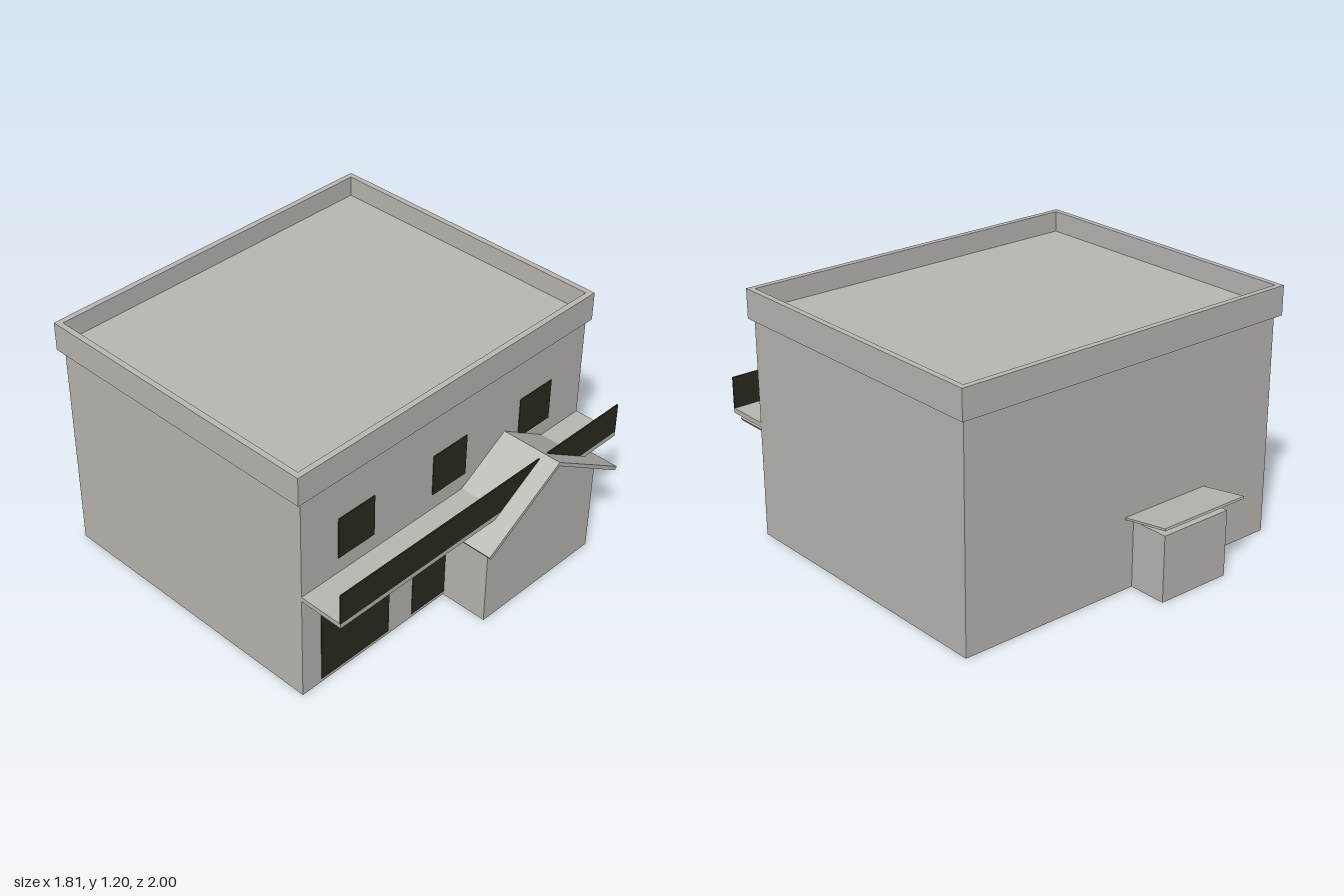
import * as THREE from 'three';

export function createModel() {
  const model = new THREE.Group();
  model.name = 'building';

  const wall = new THREE.MeshStandardMaterial({ color: 0xbcb9b4 });
  wall.name = 'wall grey';
  const glass = new THREE.MeshStandardMaterial({ color: 0x2c2b20 });
  glass.name = 'dark glass';

  const add = (name, geometry, material) => {
    const mesh = new THREE.Mesh(geometry, material);
    mesh.name = name;
    model.add(mesh);
    return mesh;
  };

  // Box given by its limits on each axis
  const box = (name, [x0, x1], [y0, y1], [z0, z1], material = wall) => {
    const mesh = add(name, new THREE.BoxGeometry(x1 - x0, y1 - y0, z1 - z0), material);
    mesh.position.set((x0 + x1) / 2, (y0 + y1) / 2, (z0 + z1) / 2);
    return mesh;
  };

  const shapeOf = (points) => new THREE.Shape(points.map(([x, y]) => new THREE.Vector2(x, y)));
  const extrude = (shape, depth) => new THREE.ExtrudeGeometry(shape, { depth, bevelEnabled: false });

  // Main block, its top being the sunken roof deck
  box('mainBlock', [-0.88, 0.88], [0, 1.1], [-0.76, 0.69]);

  // Parapet ring, drawn in plan (shape y = -z) and raised
  const ring = shapeOf([[-0.905, -0.705], [0.905, -0.705], [0.905, 0.785], [-0.905, 0.785]]);
  ring.holes.push(new THREE.Path(
    [[-0.877, -0.677], [-0.877, 0.757], [0.877, 0.757], [0.877, -0.677]].map(([x, y]) => new THREE.Vector2(x, y))
  ));
  const parapet = add('parapet', extrude(ring, 0.14), wall);
  parapet.rotation.x = -Math.PI / 2;
  parapet.position.y = 1.06;

  // Balcony along the front
  box('balconySlab', [-0.88, 0.88], [0.537, 0.56], [0.69, 0.912]);
  box('balconyRailing', [-0.88, 0.88], [0.56, 0.712], [0.905, 0.912], glass);

  // Upper windows
  for (const x of [-0.565, 0, 0.56]) {
    box('upperWindow', [x - 0.105, x + 0.105], [0.64, 0.848], [0.688, 0.694], glass);
  }

  // Ground floor windows and central door
  for (const x of [-0.565, 0.565]) {
    box('shopWindow', [x - 0.205, x + 0.205], [0.02, 0.405], [0.688, 0.694], glass);
  }
  box('frontDoor', [-0.21, 0.21], [0.02, 0.405], [0.688, 0.694], glass);
  box('doorCanopy', [-0.245, 0.245], [0.376, 0.39], [0.688, 0.71]);

  // Gabled porch
  const porch = shapeOf([[0, 0], [0.72, 0], [0.72, 0.485], [0.36, 0.71], [0, 0.485]]);
  add('porchWalls', extrude(porch, 0.24), wall).position.z = 0.69;

  const gable = shapeOf([
    [-0.075, 0.457], [-0.065, 0.441], [0.36, 0.707],
    [0.785, 0.441], [0.795, 0.457], [0.36, 0.727],
  ]);
  add('porchRoof', extrude(gable, 0.31), wall).position.z = 0.69;

  // Rear entrance with a canopy rising outward
  box('rearAnnex', [-0.43, -0.05], [0, 0.32], [-0.95, -0.76]);
  const slope = shapeOf([[0.76, 0.341], [1, 0.379], [0.998, 0.39], [0.76, 0.351]]);
  const rearCanopy = add('rearCanopy', extrude(slope, 0.48), wall);
  rearCanopy.rotation.y = Math.PI / 2; // shape x runs toward -z
  rearCanopy.position.x = -0.48;

  return model;
}
